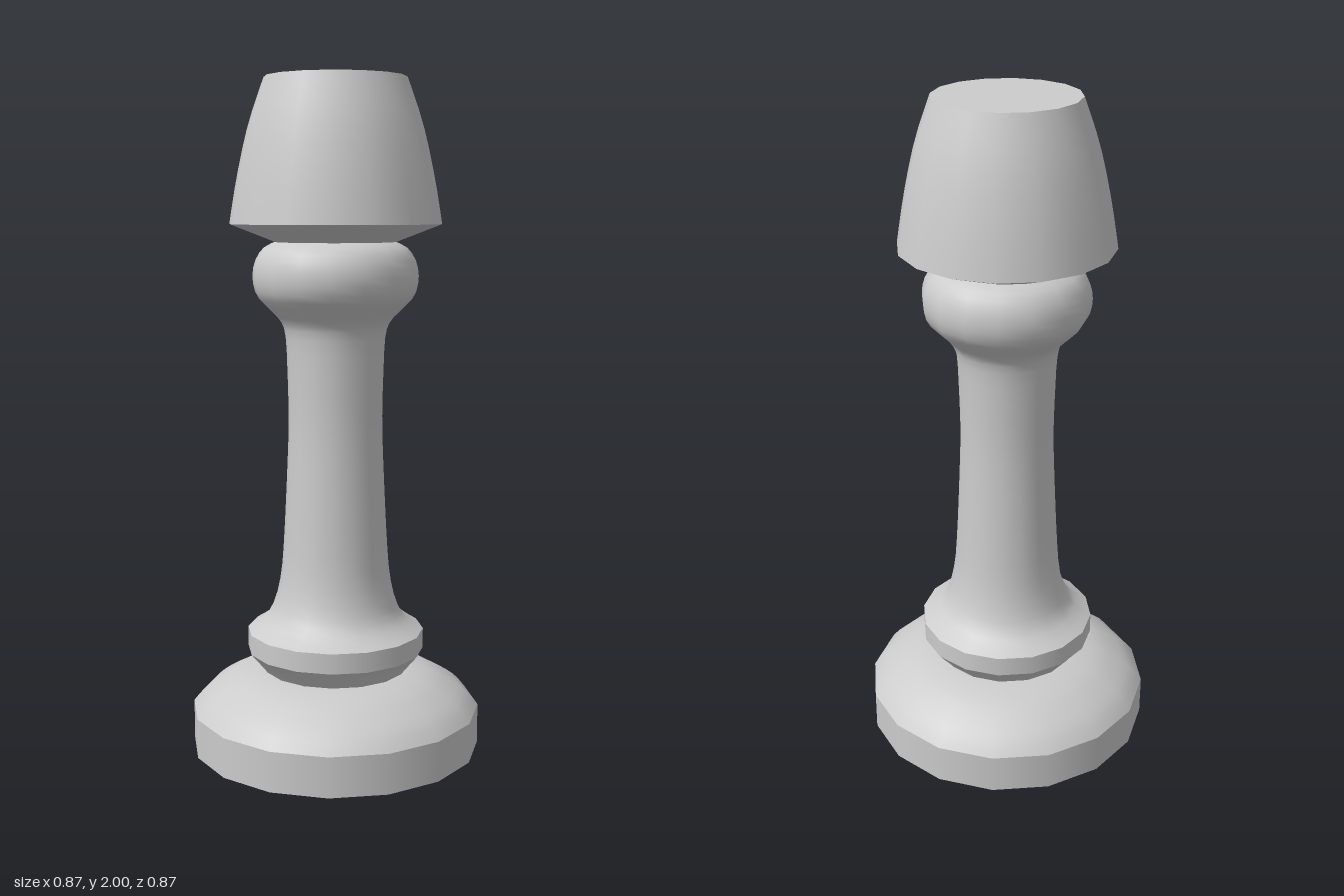
import * as THREE from 'three';

const SIDES = 16;

export function createModel() {
  const group = new THREE.Group();
  const material = new THREE.MeshStandardMaterial({ color: 0xcccccc });

  // Each turned section is smooth in itself; sections meet at sharp edges.
  const turn = (name, points, smooth = false) => {
    let profile = points.map(([r, y]) => new THREE.Vector2(r, y));
    if (smooth) profile = new THREE.SplineCurve(profile).getPoints(points.length * 2);
    const mesh = new THREE.Mesh(new THREE.LatheGeometry(profile, SIDES), material);
    mesh.name = name;
    group.add(mesh);
  };

  // Foot
  turn('footUnderside', [[0, 0], [0.437, 0]]);
  turn('footRim', [[0.437, 0], [0.437, 0.12]]);
  turn('footDome', [[0.437, 0.12], [0.405, 0.157], [0.36, 0.19], [0.3, 0.222], [0.23, 0.24], [0.2, 0.24]], true);

  // Collar
  turn('collarUnderside', [[0.215, 0.235], [0.225, 0.25], [0.267, 0.3]]);
  turn('collarBand', [[0.267, 0.3], [0.267, 0.36]]);

  // Waisted stem flowing into the rounded knob
  turn('stemAndKnob', [
    [0.267, 0.36], [0.215, 0.395], [0.185, 0.445], [0.165, 0.53], [0.155, 0.65],
    [0.145, 0.85], [0.14, 1.0], [0.143, 1.15], [0.148, 1.25], [0.162, 1.295],
    [0.195, 1.33], [0.232, 1.37], [0.245, 1.42], [0.238, 1.47], [0.213, 1.51], [0.175, 1.53],
  ], true);

  // Tapered head
  turn('headUnderside', [[0.175, 1.527], [0.312, 1.58]]);
  turn('headSide', [[0.312, 1.58], [0.288, 1.72], [0.253, 1.87], [0.208, 2]], true);
  turn('headTop', [[0.208, 2], [0, 2]]);

  return group;
}
